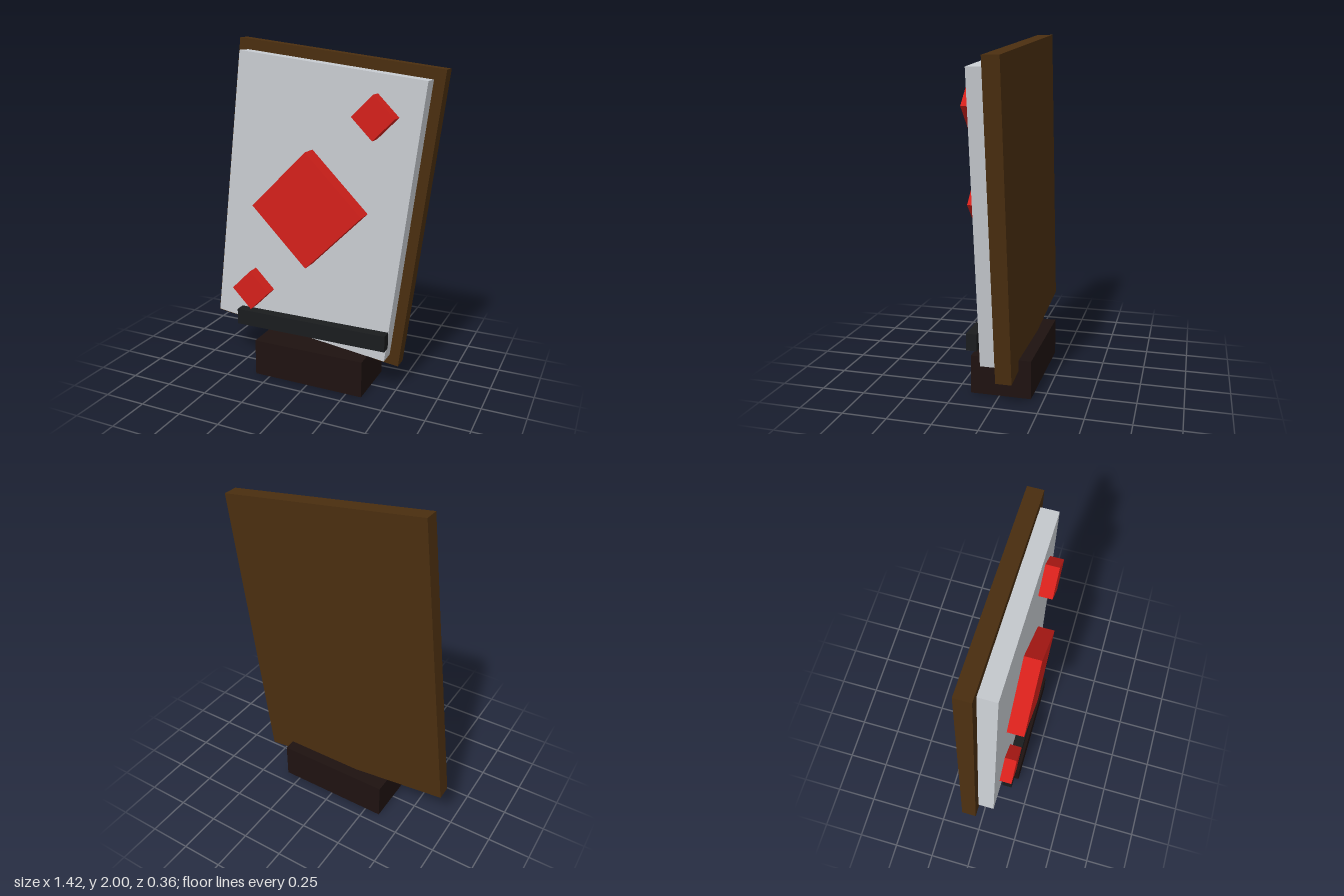
import * as THREE from 'three';

const wood = new THREE.MeshStandardMaterial({ color: 0x4a2e0f });
const pale = new THREE.MeshStandardMaterial({ color: 0xc8ccd1 });
const red = new THREE.MeshStandardMaterial({ color: 0xd4201b });
const black = new THREE.MeshStandardMaterial({ color: 0x1a1c1e });
const darkWood = new THREE.MeshStandardMaterial({ color: 0x1e1210 });

// Box of width w and height h centred on (x, y), spanning z0 to z1, turned about z
function slab(name, material, w, h, x, y, z0, z1, turn = 0) {
  const mesh = new THREE.Mesh(new THREE.BoxGeometry(w, h, z1 - z0), material);
  mesh.name = name;
  mesh.position.set(x, y, (z0 + z1) / 2);
  mesh.rotation.z = turn;
  return mesh;
}

export function createModel() {
  const model = new THREE.Group();
  model.name = 'cardSign';
  const midY = 1.07;
  const tilt = THREE.MathUtils.degToRad(-7);

  // Tilted board with a raised card face
  model.add(slab('backBoard', wood, 1.22, 1.72, 0, midY, -0.11, -0.02, tilt));
  model.add(slab('cardFace', pale, 1.1, 1.6, 0, midY, -0.02, 0.08, tilt));

  // Diamonds: square blocks standing on a corner
  model.add(slab('centreDiamond', red, 0.47, 0.47, 0, midY, 0.08, 0.18, Math.PI / 4));
  for (const [name, s] of [['upperDiamond', 1], ['lowerDiamond', -1]]) {
    model.add(slab(name, red, 0.17, 0.17, s * 0.377, midY + s * 0.535, 0.08, 0.155, Math.PI / 4));
  }

  // Level bar across the front, and the foot
  model.add(slab('frontBar', black, 0.945, 0.095, 0, 0.35, 0.09, 0.15));
  model.add(slab('base', darkWood, 0.69, 0.22, 0, 0.11, -0.18, 0.165));
  return model;
}
